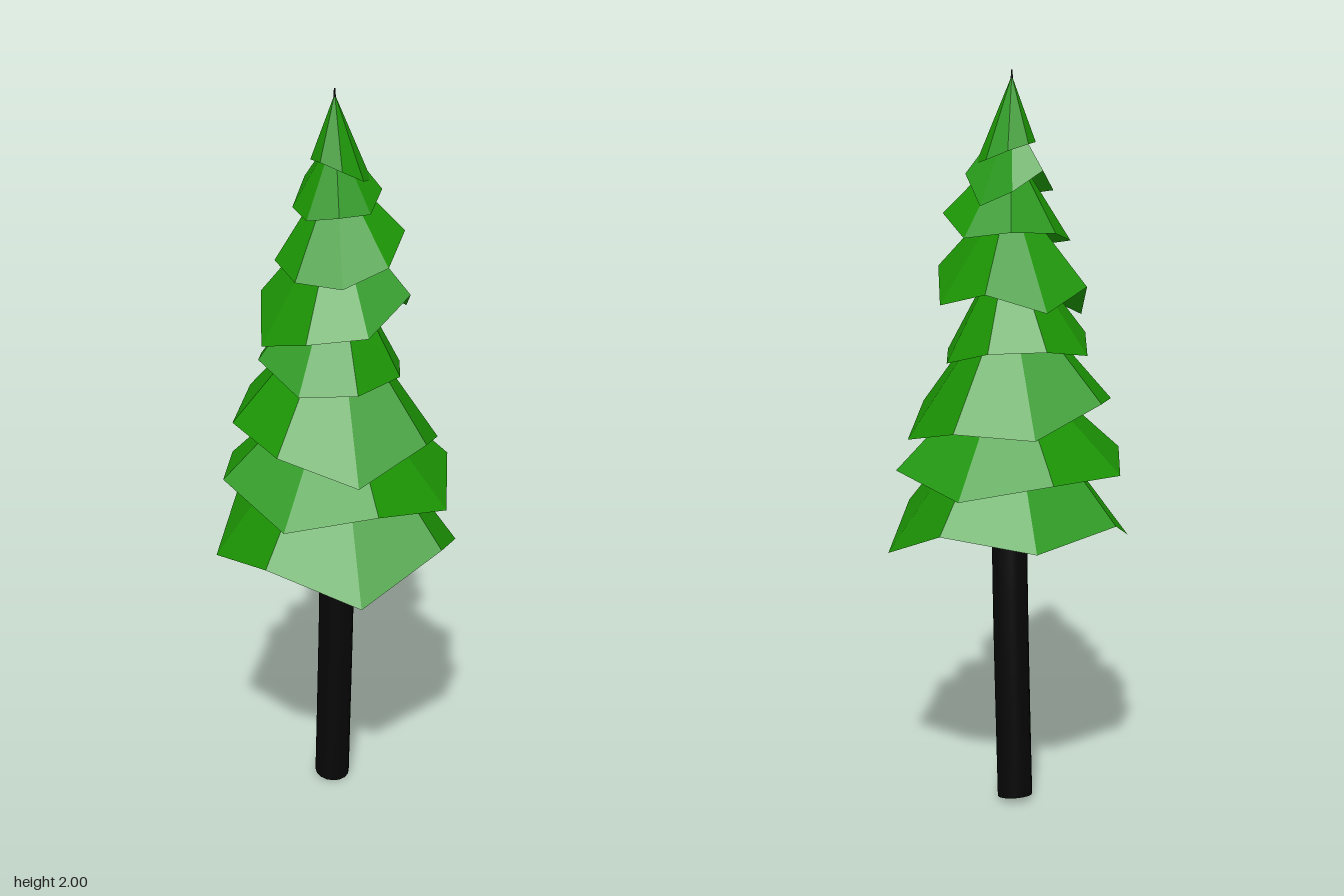
import * as THREE from 'three';

const SIDES = 8;

// Branch tiers, bottom to top. apex: tip height, r: rim radius,
// twist: angle of the first corner in degrees, off: rim shift in x and z,
// rim: uneven corner heights, turning from the left (+x) towards the front.
const TIERS = [
  { apex: 1.20, r: .333, twist: 14.5, off: [0, 0], rim: [.805, .70, .79, .735, .83, .795, .83, .725] },
  { apex: 1.27, r: .320, twist: 6, off: [0, 0], rim: [.90, .95, .90, .975, .955, .97, .925, .965] },
  { apex: 1.45, r: .280, twist: 13.5, off: [0, .007], rim: [1.095, 1.02, 1.09, 1.12, 1.15, 1.08, 1.09, 1.035] },
  { apex: 1.58, r: .200, twist: 4, off: [-.018, .008], rim: [1.255, 1.24, 1.235, 1.30, 1.265, 1.295, 1.29, 1.245] },
  { apex: 1.70, r: .208, twist: 1, off: [-.002, .014], rim: [1.48, 1.40, 1.385, 1.345, 1.445, 1.395, 1.445, 1.40] },
  { apex: 1.81, r: .168, twist: 23, off: [.012, .015], rim: [1.565, 1.525, 1.53, 1.555, 1.59, 1.60, 1.58, 1.63] },
  { apex: 1.89, r: .115, twist: 23, off: [0, 0], rim: [1.69, 1.69, 1.675, 1.69, 1.75, 1.70, 1.66, 1.735] },
  { apex: 1.985, r: .078, twist: 23, off: [.01, 0], rim: [1.77, 1.80, 1.82, 1.815, 1.815, 1.80, 1.775, 1.76] },
];

// Gently bent centre line shared by trunk and tiers
const axis = new THREE.CatmullRomCurve3([
  new THREE.Vector3(-.024, 0, -.023), new THREE.Vector3(-.009, .67, -.023),
  new THREE.Vector3(0, 1.33, -.006), new THREE.Vector3(0, 2, .02),
]);
const axisAt = (y) => axis.getPoint(y / 2);

// Open faceted cone with an uneven rim
function tierGeometry({ apex, r, twist, off, rim }) {
  const corner = (i) => {
    const a = THREE.MathUtils.degToRad(twist) + i * Math.PI * 2 / SIDES;
    return [off[0] + r * Math.cos(a), rim[i % SIDES], off[1] + r * Math.sin(a)];
  };
  const top = axisAt(apex), pos = [];
  for (let i = 0; i < SIDES; i++) {
    pos.push(...corner(i + 1), ...corner(i), top.x, apex, top.z);
  }
  const geo = new THREE.BufferGeometry();
  geo.setAttribute('position', new THREE.Float32BufferAttribute(pos, 3));
  geo.computeVertexNormals();
  return geo;
}

// Round trunk: even below the branches, tapering to a point, with a slanted foot
function trunkGeometry() {
  const geo = new THREE.CylinderGeometry(1, 1, 2, 16, 16);
  const p = geo.attributes.position;
  for (let i = 0; i < p.count; i++) {
    const x = p.getX(i), y = p.getY(i) + 1, z = p.getZ(i), c = axisAt(y);
    const r = y < .8 ? .048 : .002 + .046 * (2 - y) / 1.2;
    const slant = y < .01 ? .01 - .007 * z - .006 * x : 0;
    p.setXYZ(i, c.x + x * r, y + slant, c.z + z * r);
  }
  geo.computeVertexNormals();
  return geo;
}

export function createModel() {
  const tree = new THREE.Group();
  tree.name = 'pineTree';

  const bark = new THREE.MeshStandardMaterial({ color: 0x060606 });
  const needles = new THREE.MeshStandardMaterial({
    color: 0x1c9504, flatShading: true, side: THREE.DoubleSide,
  });

  const trunk = new THREE.Mesh(trunkGeometry(), bark);
  trunk.name = 'trunk';
  tree.add(trunk);

  const foliage = new THREE.Group();
  foliage.name = 'foliage';
  TIERS.forEach((spec, i) => {
    const tier = new THREE.Mesh(tierGeometry(spec), needles);
    tier.name = `branchTier${i + 1}`;
    foliage.add(tier);
  });
  tree.add(foliage);
  return tree;
}
